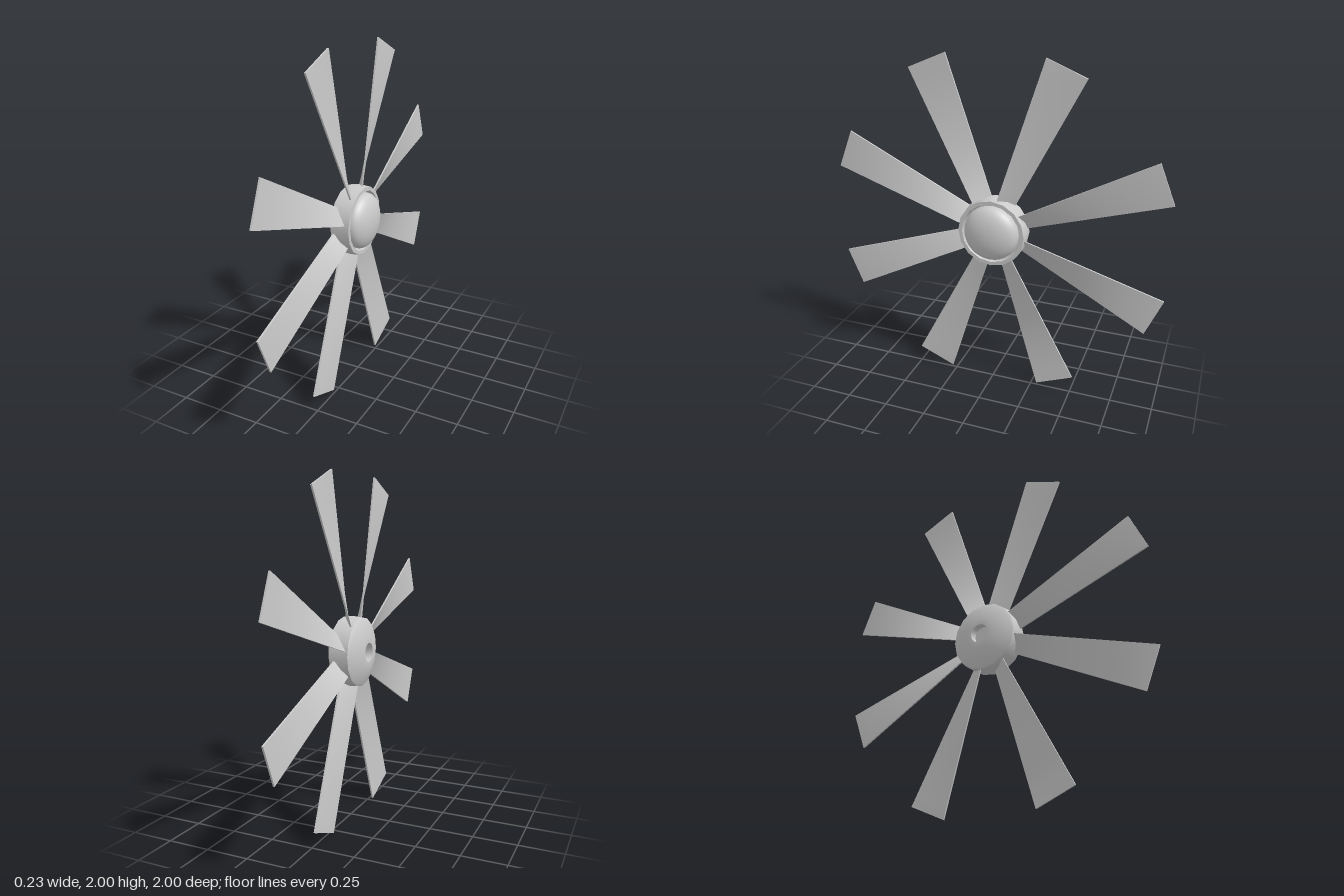
import * as THREE from 'three';
import { toCreasedNormals } from 'three/addons/utils/BufferGeometryUtils.js';

const material = new THREE.MeshStandardMaterial({ color: 0xcccccc });
const BLADES = 8;

// Revolve a [radius, axial] profile around the fan's x axis
function turned(name, profile, sides, crease) {
  const points = profile.map(([r, a]) => new THREE.Vector2(r, a));
  const geometry = toCreasedNormals(new THREE.LatheGeometry(points, sides), crease);
  geometry.rotateZ(-Math.PI / 2);
  const mesh = new THREE.Mesh(geometry, material);
  mesh.name = name;
  return mesh;
}

// Tapered blade pointing up, pitched at the root and flat at the tip
function bladeGeometry() {
  const rootRadius = 0.17, tipRadius = 1.032, thickness = 0.01;
  const geometry = new THREE.BoxGeometry(thickness, 1, 2, 1, 10, 1);
  const p = geometry.attributes.position;
  for (let i = 0; i < p.count; i++) {
    const t = p.getY(i) + 0.5;
    const side = p.getZ(i);
    const halfWidth = THREE.MathUtils.lerp(0.047, 0.121, t);
    const pitch = 0.034 * (1 - t) * side;
    p.setXYZ(i, p.getX(i) - 0.02 + pitch, THREE.MathUtils.lerp(rootRadius, tipRadius, t), halfWidth * side);
  }
  geometry.computeVertexNormals();
  return geometry;
}

export function createModel() {
  const model = new THREE.Group();
  model.name = 'fan';
  const rotor = new THREE.Group();
  rotor.name = 'rotor';
  rotor.position.y = 1;
  model.add(rotor);

  // Hub shell: shaft socket, sloping back, outer wall, front rim and recess
  rotor.add(turned('hub', [
    [0, -0.07], [0.055, -0.07], [0.055, -0.115], [0.09, -0.115],
    [0.185, -0.08], [0.2, -0.07], [0.205, -0.02], [0.2, 0.043],
    [0.178, 0.043], [0.17, 0.015], [0, 0.015],
  ], 16, 0.5));

  // Domed front cap
  const dome = [[0.163, 0.01]];
  for (let i = 0; i <= 10; i++) {
    const a = (i / 10) * Math.PI / 2;
    dome.push([0.163 * Math.cos(a), 0.035 + 0.076 * Math.sin(a)]);
  }
  rotor.add(turned('frontCap', dome, 32, 0.7));

  // Ring of blades
  const geometry = bladeGeometry();
  for (let i = 0; i < BLADES; i++) {
    const blade = new THREE.Mesh(geometry, material);
    blade.name = `blade${i + 1}`;
    blade.rotation.x = ((i + 0.5) / BLADES) * Math.PI * 2;
    rotor.add(blade);
  }
  return model;
}
